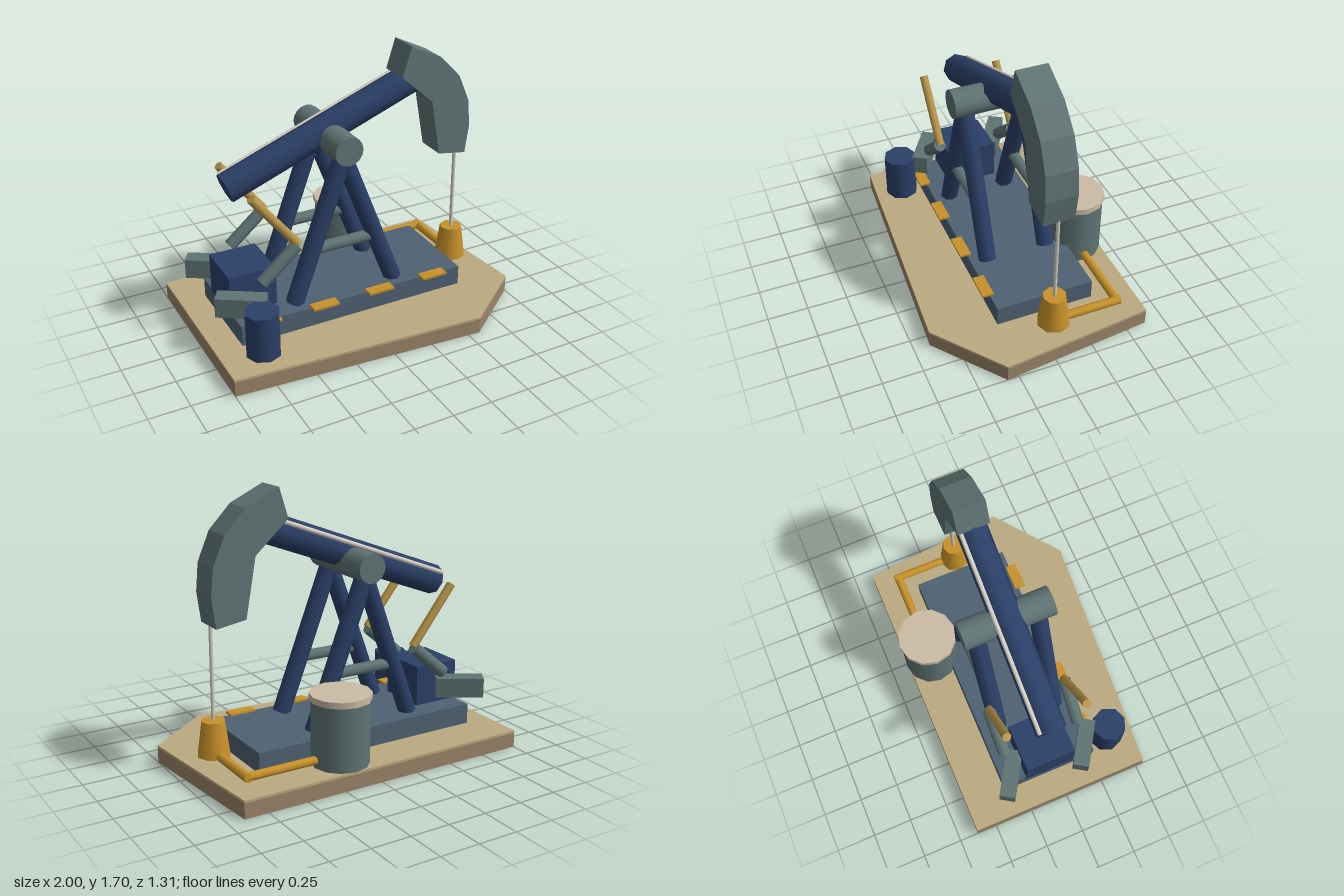
import * as THREE from 'three';

const mat = (color) => new THREE.MeshStandardMaterial({ color });
const MAT = {
  navy: mat(0x2b4068), steel: mat(0x607474), slate: mat(0x4f6172), gold: mat(0xc8922a),
  brass: mat(0xb8964a), sand: mat(0xbcaa80), soil: mat(0x9a8468), cream: mat(0xcbbca5), rod: mat(0xd6d0c4),
};
const MID = -0.055;              // z of the pump's centre plane
const SIDES = [0.25, -0.25];     // crank offsets from the centre plane

export function createModel() {
  const model = new THREE.Group();
  model.name = 'pumpjack';

  const add = (name, geometry, material, x = 0, y = 0, z = 0) => {
    const mesh = new THREE.Mesh(geometry, material);
    mesh.name = name;
    mesh.position.set(x, y, z);
    model.add(mesh);
    return mesh;
  };
  const box = (name, material, w, h, d, x, y, z) =>
    add(name, new THREE.BoxGeometry(w, h, d), material, x, y, z);
  // Upright round part standing between two heights
  const drum = (name, material, rTop, rBottom, y0, y1, x, z, sides) =>
    add(name, new THREE.CylinderGeometry(rTop, rBottom, y1 - y0, sides), material, x, (y0 + y1) / 2, z);
  // Round bar from point a to point b
  const bar = (name, material, a, b, r, sides = 8) => {
    const from = new THREE.Vector3(...a), to = new THREE.Vector3(...b);
    const dir = to.clone().sub(from);
    const mesh = add(name, new THREE.CylinderGeometry(r, r, dir.length(), sides), material);
    mesh.position.copy(from).add(to).multiplyScalar(0.5);
    mesh.quaternion.setFromUnitVectors(new THREE.Vector3(0, 1, 0), dir.normalize());
    return mesh;
  };
  const extrude = (points, depth) => new THREE.ExtrudeGeometry(
    new THREE.Shape(points.map(([x, y]) => new THREE.Vector2(x, y))), { depth, bevelEnabled: false });

  // Ground: soil slab with a thin sand layer, outline in x and -z
  const outline = [[-1, 0.63], [-1, -0.54], [0.575, -0.65], [1, -0.32], [0.9, 0.63]];
  add('soilSlab', extrude(outline, 0.095), MAT.soil).rotation.x = -Math.PI / 2;
  add('sandLayer', extrude(outline, 0.015), MAT.sand, 0, 0.095, 0).rotation.x = -Math.PI / 2;

  // Skid base with a row of steps along its front
  box('skidBase', MAT.slate, 1.5, 0.13, 0.62, -0.08, 0.172, -0.06);
  for (let i = 0; i < 4; i++) {
    box('step', MAT.gold, 0.17, 0.014, 0.07, -0.675 + i * 0.38, 0.243, 0.26);
  }

  // A-frame: two leaning legs and a crossbar on each side
  for (const z of [0.142, -0.25]) {
    for (const x of [-0.44, 0.24]) bar('frameLeg', MAT.navy, [x, 0.235, z], [-0.11, 1.14, z], 0.057);
    bar('crossbar', MAT.steel, [-0.31, 0.572, z], [0.11, 0.572, z], 0.037);
  }
  bar('saddleBearing', MAT.steel, [-0.11, 1.2, 0.23], [-0.11, 1.2, -0.337], 0.09, 16);

  // Walking beam with a thin rod along its rear upper edge
  bar('walkingBeam', MAT.navy, [-0.772, 0.995, MID], [0.45, 1.462, MID], 0.094);
  bar('beamRod', MAT.rod, [-0.782, 1.055, -0.13], [0.41, 1.511, -0.13], 0.014);

  // Curved head
  const head = [[0.342, 1.51], [0.4, 1.695], [0.61, 1.595], [0.745, 1.455], [0.82, 1.28],
    [0.835, 1.11], [0.81, 0.93], [0.62, 0.96], [0.555, 1.32]];
  add('beamHead', extrude(head.reverse(), 0.196), MAT.steel, 0, 0, MID - 0.098);

  // Polished rod, wellhead and flow pipe
  drum('polishedRod', MAT.rod, 0.012, 0.012, 0.34, 0.96, 0.8, MID, 8);
  drum('wellhead', MAT.gold, 0.072, 0.102, 0.145, 0.36, 0.8, MID, 8);
  bar('flowPipe', MAT.gold, [0.803, 0.163, MID], [0.803, 0.163, -0.495], 0.027);
  bar('flowPipe', MAT.gold, [0.815, 0.163, -0.472], [0.3, 0.163, -0.472], 0.027);

  // Storage tank and lid
  drum('tank', MAT.steel, 0.173, 0.173, 0.115, 0.51, 0.193, -0.472, 12);
  drum('tankLid', MAT.cream, 0.184, 0.184, 0.507, 0.545, 0.193, -0.472, 12);

  // Motor housing and barrel
  box('motorHousing', MAT.navy, 0.3, 0.26, 0.32, -0.688, 0.36, -0.06);
  drum('barrel', MAT.navy, 0.107, 0.107, 0.12, 0.407, -0.753, 0.38, 8);

  // Drive on each side: connecting arm, crank and counterweight
  for (const side of SIDES) {
    const z = MID + side;
    bar('connectingArm', MAT.brass, [-0.715, 1.025, z], [-0.435, 0.67, z], 0.027);
    bar('crank', MAT.steel, [-0.67, 0.465, z], [-0.44, 0.66, z], 0.04);
    box('counterweight', MAT.steel, 0.3, 0.125, 0.1, -0.8, 0.35, z - 0.008).rotation.y = -0.56;
  }
  return model;
}
